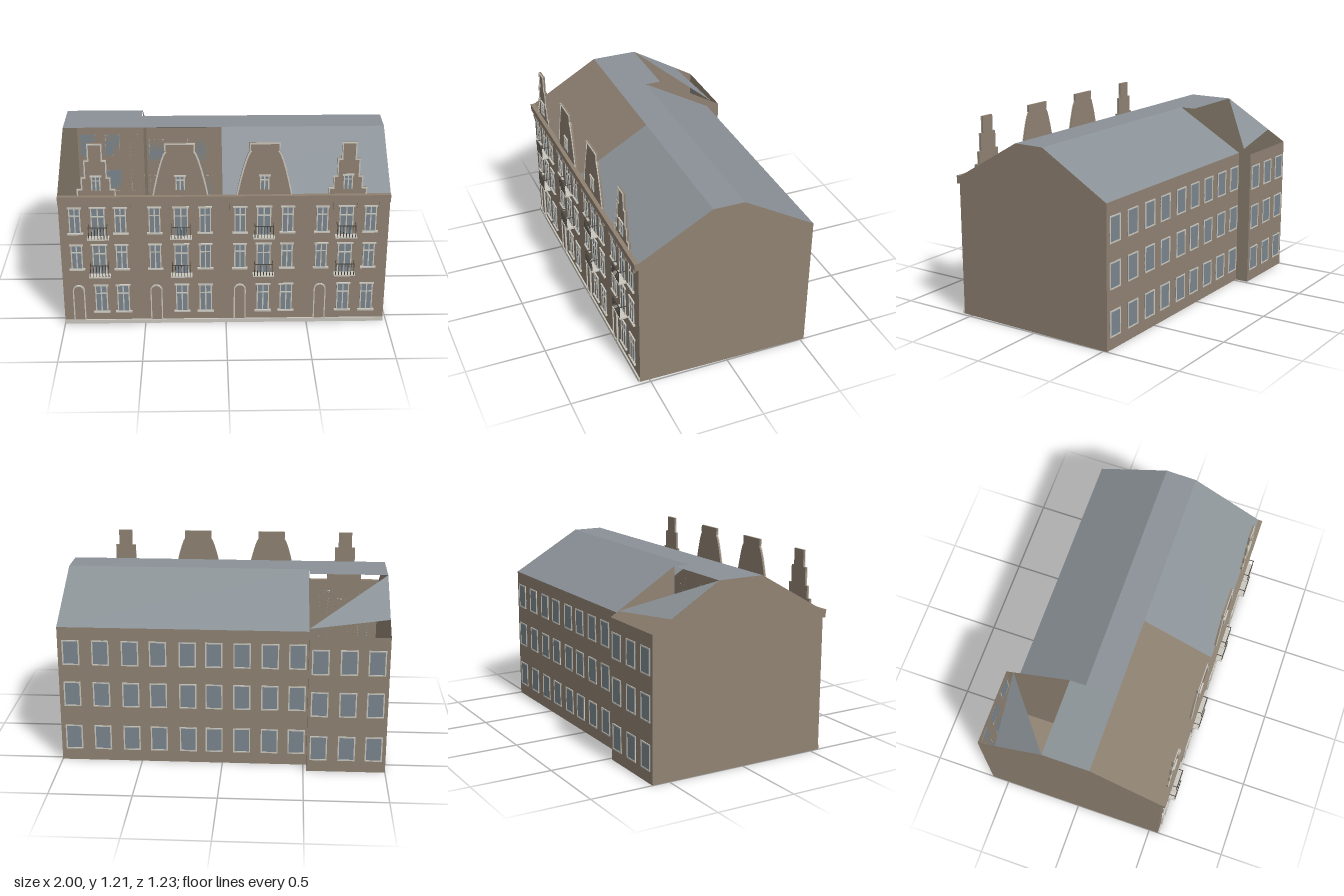
import * as THREE from 'three';

const mat = (name, color, double = false) => {
  const m = new THREE.MeshStandardMaterial({ color });
  m.name = name;
  if (double) m.side = THREE.DoubleSide;
  return m;
};

export function createModel() {
  const brick = mat('brown wall', 0x8f8272, true);
  const roof = mat('grey roof', 0x8a9196, true);
  const cream = mat('cream trim', 0xc9c7be);
  const glass = mat('window glass', 0x7b868d);
  const iron = mat('dark railing', 0x4c4741);

  const model = new THREE.Group();
  model.name = 'terraceBuilding';

  const EAVE = 0.873, RIDGE = 1.13, FRONT = 0.56, BACK = -0.525, WING = -0.61;
  const LEFT = -1, STEP = -0.52, OPEN = -0.02;
  // the end wall at +x is slightly skewed
  const endX = z => 0.98 + 0.02 * (FRONT - z) / (FRONT - BACK);

  // flat convex sheet from corner points
  function sheet(name, material, points, parent = model) {
    const tri = [];
    for (let i = 1; i < points.length - 1; i++) tri.push(...points[0], ...points[i], ...points[i + 1]);
    const g = new THREE.BufferGeometry();
    g.setAttribute('position', new THREE.Float32BufferAttribute(tri, 3));
    g.computeVertexNormals();
    const mesh = new THREE.Mesh(g, material);
    mesh.name = name;
    parent.add(mesh);
  }
  function box(name, material, w, h, d, x, y, z, parent = model) {
    const mesh = new THREE.Mesh(new THREE.BoxGeometry(w, h, d), material);
    mesh.name = name;
    mesh.position.set(x, y, z);
    parent.add(mesh);
    return mesh;
  }
  function plate(name, material, shape, depth, x, y, z, parent = model) {
    const mesh = new THREE.Mesh(new THREE.ExtrudeGeometry(shape, { depth, bevelEnabled: false, curveSegments: 10 }), material);
    mesh.name = name;
    mesh.position.set(x, y, z);
    parent.add(mesh);
  }

  // hollow wall shell
  const eR = endX(FRONT), bR = endX(BACK);
  sheet('frontWall', brick, [[LEFT, 0, FRONT], [eR, 0, FRONT], [eR, EAVE, FRONT], [LEFT, EAVE, FRONT]]);
  sheet('backWall', brick, [[bR, 0, BACK], [STEP, 0, BACK], [STEP, EAVE, BACK], [bR, EAVE, BACK]]);
  sheet('wingBackWall', brick, [[STEP, 0, WING], [LEFT, 0, WING], [LEFT, EAVE, WING], [STEP, EAVE, WING]]);
  sheet('wingSideWall', brick, [[STEP, 0, -0.18], [STEP, 0, WING], [STEP, EAVE, WING], [STEP, RIDGE, -0.18]]);
  sheet('leftEndWall', brick, [[eR, 0, FRONT], [bR, 0, BACK], [bR, EAVE, BACK],
    [endX(-0.08), RIDGE, -0.08], [endX(0.115), RIDGE, 0.115], [eR, EAVE, FRONT]]);
  sheet('rightEndWall', brick, [[LEFT, 0, WING], [LEFT, 0, FRONT], [LEFT, EAVE, FRONT],
    [LEFT, RIDGE, 0.115], [LEFT, RIDGE, -0.18], [LEFT, EAVE, WING]]);
  sheet('floor', brick, [[LEFT, 0, FRONT], [LEFT, 0, BACK], [bR, 0, BACK], [eR, 0, FRONT]]);
  sheet('wingFloor', brick, [[LEFT, 0, BACK], [LEFT, 0, WING], [STEP, 0, WING], [STEP, 0, BACK]]);

  // roof, with its front slope only over the left half and a partial slope on the wing
  sheet('roofTop', roof, [[STEP, RIDGE, 0.115], [endX(0.115), RIDGE, 0.115], [endX(-0.08), RIDGE, -0.08], [STEP, RIDGE, -0.08]]);
  sheet('wingRoofTop', roof, [[LEFT, RIDGE, 0.115], [STEP, RIDGE, 0.115], [STEP, RIDGE, -0.18], [LEFT, RIDGE, -0.18]]);
  sheet('frontSlope', roof, [[OPEN, EAVE, FRONT], [eR, EAVE, FRONT], [endX(0.115), RIDGE, 0.115], [OPEN, RIDGE, 0.115]]);
  sheet('backSlope', roof, [[bR, EAVE, BACK], [STEP, EAVE, BACK], [STEP, RIDGE, -0.08], [endX(-0.08), RIDGE, -0.08]]);
  sheet('wingSlope', roof, [[LEFT, RIDGE, -0.18], [STEP, 0.903, -0.56], [LEFT, 0.945, -0.49]]);

  // plinth and cornice
  const mid = (LEFT + eR) / 2, len = eR - LEFT;
  box('plinth', cream, len, 0.025, 0.01, mid, 0.0125, FRONT + 0.005);
  box('cornice', brick, len, 0.045, 0.024, mid, 0.85, FRONT + 0.01);
  box('corniceLip', brick, len, 0.01, 0.03, mid, 0.87, FRONT + 0.01);

  // framed window; (x, y) is the bottom centre
  function frontWindow(x, y, w, h, sill = true) {
    const g = new THREE.Group();
    g.name = 'frontWindow';
    g.position.set(x, y, FRONT);
    model.add(g);
    box('pane', glass, w, h, 0.004, 0, h / 2, 0.002, g);
    const t = 0.007;
    for (const s of [-1, 1]) box('jamb', cream, t, h, 0.008, s * (w - t) / 2, h / 2, 0.004, g);
    box('mullion', cream, t, h, 0.008, 0, h / 2, 0.004, g);
    box('transom', cream, w, t, 0.008, 0, h * 0.7, 0.004, g);
    box('head', cream, w + 0.015, 0.009, 0.009, 0, h, 0.0045, g);
    if (sill) box('sill', cream, w + 0.025, 0.01, 0.014, 0, 0, 0.007, g);
  }

  function balcony(x, y) {
    const g = new THREE.Group();
    g.name = 'balcony';
    g.position.set(x, y, FRONT);
    model.add(g);
    const w = 0.13, d = 0.05, h = 0.08, r = 0.004;
    box('slab', cream, w, 0.008, d, 0, 0, d / 2, g);
    box('frontRail', iron, w - 0.02, r, r, 0, h, d - r, g);
    for (let i = 0; i < 7; i++) box('bar', iron, r, h, r, (i / 6 - 0.5) * (w - 0.02), h / 2, d - r, g);
    for (const s of [-1, 1]) box('sideRail', iron, r, r, d, s * (w / 2 - 0.01), h, d / 2, g);
  }

  // arched door outline with a plain leaf
  function arch(w, h) {
    const s = new THREE.Shape();
    s.moveTo(-w / 2, 0);
    s.lineTo(w / 2, 0);
    s.lineTo(w / 2, h - w / 2);
    s.absarc(0, h - w / 2, w / 2, 0, Math.PI);
    s.closePath();
    return s;
  }
  function door(x) {
    const frame = arch(0.074, 0.258);
    frame.holes.push(arch(0.06, 0.251));
    plate('doorFrame', cream, frame, 0.011, x, 0.012, FRONT);
    plate('doorLeaf', brick, arch(0.06, 0.251), 0.004, x, 0.012, FRONT);
  }

  // half outlines of the two gable kinds, from the base upward
  const stepped = [[0.115, 0], [0.115, 0.045], [0.088, 0.045], [0.088, 0.12], [0.067, 0.12],
    [0.067, 0.23], [0.044, 0.23], [0.044, 0.333]];
  const bell = [[0.166, 0], [0.157, 0.05], [0.144, 0.11], [0.128, 0.175], [0.112, 0.23],
    [0.099, 0.265], [0.085, 0.288], [0.09, 0.288], [0.09, 0.333]];
  const outline = (half, inset) => {
    const right = half.map(([x, y]) => [x - inset, y ? y - inset : 0]);
    const left = right.map(([x, y]) => [-x, y]).reverse();
    return new THREE.Shape([...right, ...left].map(p => new THREE.Vector2(...p)));
  };
  function gable(x, half) {
    plate('gable', brick, outline(half, 0), 0.012, x, EAVE, FRONT - 0.012);
    const trim = outline(half, 0);
    trim.holes.push(outline(half.map(([a, b]) => [a, b || 0.0081]), 0.008));
    plate('gableTrim', cream, trim, 0.005, x, EAVE, FRONT);
    frontWindow(x, 0.91, 0.055, 0.09, false);
  }

  // four houses: [door column, balcony column, plain column]
  const houses = [[-0.905, -0.767, -0.632], [-0.428, -0.27, -0.125], [0.085, 0.228, 0.37], [0.578, 0.722, 0.868]];
  houses.forEach(([a, b, c], i) => {
    door(a);
    for (const x of [b, c]) frontWindow(x, 0.083, 0.076, 0.185);
    for (const x of [a, c]) {
      frontWindow(x, 0.382, 0.07, 0.165);
      frontWindow(x, 0.625, 0.07, 0.17);
    }
    frontWindow(b, 0.348, 0.085, 0.2, false);
    frontWindow(b, 0.606, 0.085, 0.19, false);
    balcony(b, 0.346);
    balcony(b, 0.604);
    gable(b, i % 3 === 0 ? stepped : bell);
    // cornice brackets between the windows
    for (const x of [a - 0.055, (a + b) / 2, (b + c) / 2, c + 0.055])
      box('bracket', brick, 0.022, 0.05, 0.016, x, 0.805, FRONT + 0.008);
  });

  // back windows
  function backWindow(x, y, z) {
    const g = new THREE.Group();
    g.name = 'backWindow';
    g.position.set(x, y, z);
    model.add(g);
    const w = 0.105, h = 0.16, t = 0.008;
    box('pane', glass, w, h, 0.003, 0, 0, -0.0015, g);
    for (const s of [-1, 1]) {
      box('jamb', cream, t, h, 0.006, s * (w - t) / 2, 0, -0.003, g);
      box('rail', cream, w, t, 0.006, 0, s * (h - t) / 2, -0.003, g);
    }
  }
  for (const y of [0.155, 0.442, 0.712]) {
    for (const x of [0.92, 0.74, 0.56, 0.39, 0.21, 0.05, -0.12, -0.29, -0.455]) backWindow(x, y, BACK);
    for (const x of [-0.59, -0.76, -0.925]) backWindow(x, y, WING);
  }
  return model;
}
